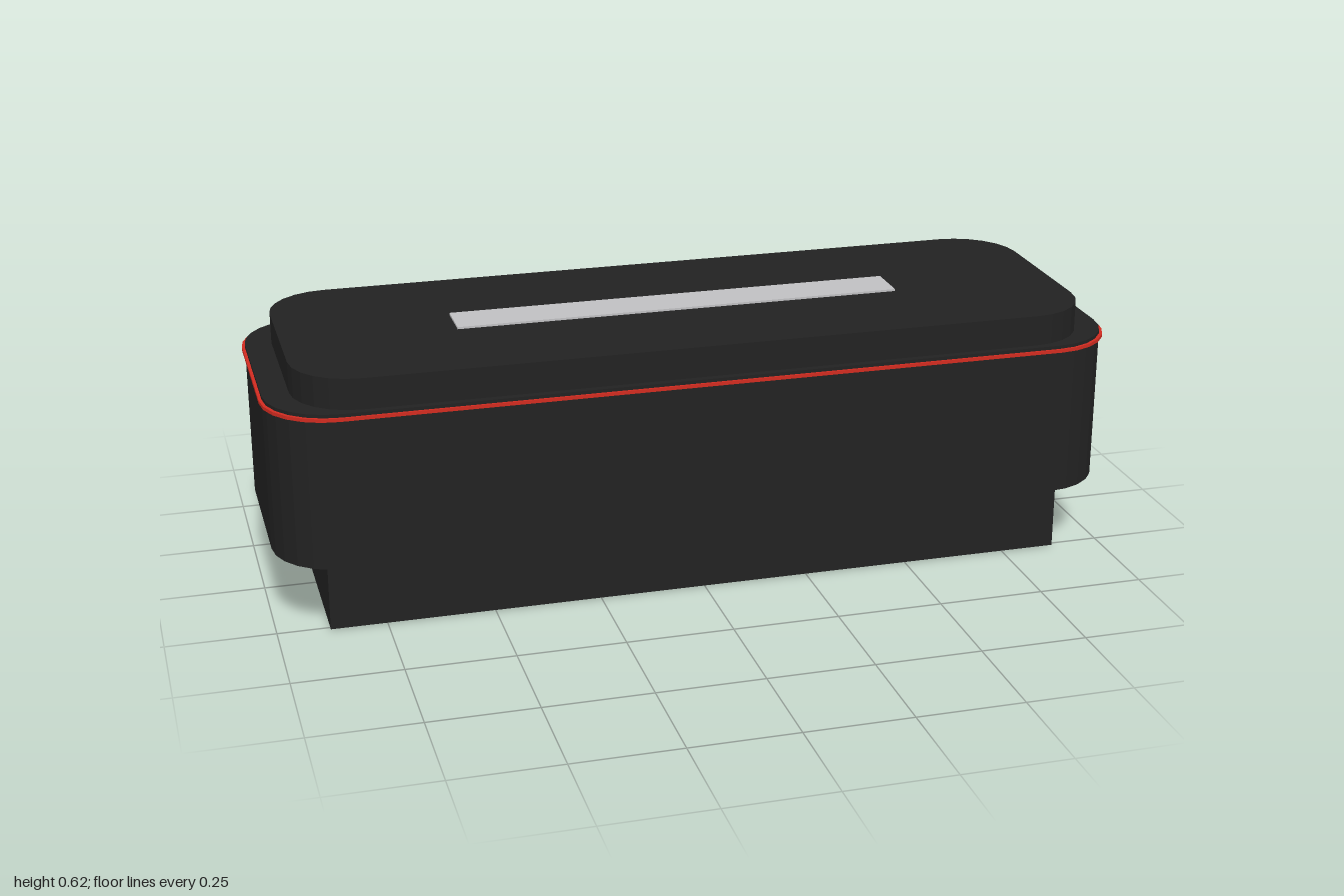
import * as THREE from 'three';

const material = (name, color) => {
  const m = new THREE.MeshStandardMaterial({ color });
  m.name = name;
  return m;
};

// Rectangle with rounded corners, extruded upward from y0 to y1
function roundedSlab(halfX, halfZ, radius, y0, y1) {
  const s = new THREE.Shape();
  const cx = halfX - radius, cz = halfZ - radius;
  s.absarc(cx, cz, radius, 0, Math.PI / 2);
  s.absarc(-cx, cz, radius, Math.PI / 2, Math.PI);
  s.absarc(-cx, -cz, radius, Math.PI, Math.PI * 1.5);
  s.absarc(cx, -cz, radius, Math.PI * 1.5, Math.PI * 2);
  const g = new THREE.ExtrudeGeometry(s, { depth: y1 - y0, bevelEnabled: false, curveSegments: 3 });
  return g.rotateX(-Math.PI / 2).translate(0, y0, 0);
}

function slab(halfX, halfZ, y0, y1) {
  return new THREE.BoxGeometry(halfX * 2, y1 - y0, halfZ * 2).translate(0, (y0 + y1) / 2, 0);
}

export function createModel() {
  const black = material('black casing', 0x222222);
  const red = material('red accent', 0xd12b20);
  const silver = material('silver', 0xc0c0c2);

  const group = new THREE.Group();
  const add = (name, geometry, mat) => {
    const mesh = new THREE.Mesh(geometry, mat);
    mesh.name = name;
    group.add(mesh);
  };

  // Plinth with the red panel underneath
  add('base', slab(0.88, 0.264, 0.002, 0.18), black);
  add('bottomPanel', slab(0.836, 0.238, 0, 0.004), red);

  // Main casing, red trim line and raised lid
  add('body', roundedSlab(0.993, 0.333, 0.156, 0.178, 0.545), black);
  add('trimBand', roundedSlab(1.0, 0.338, 0.158, 0.529, 0.537), red);
  add('lid', roundedSlab(0.932, 0.317, 0.146, 0.54, 0.617), black);

  // Thin inlay along the top
  add('topStrip', slab(0.53, 0.053, 0.613, 0.622), silver);

  return group;
}
